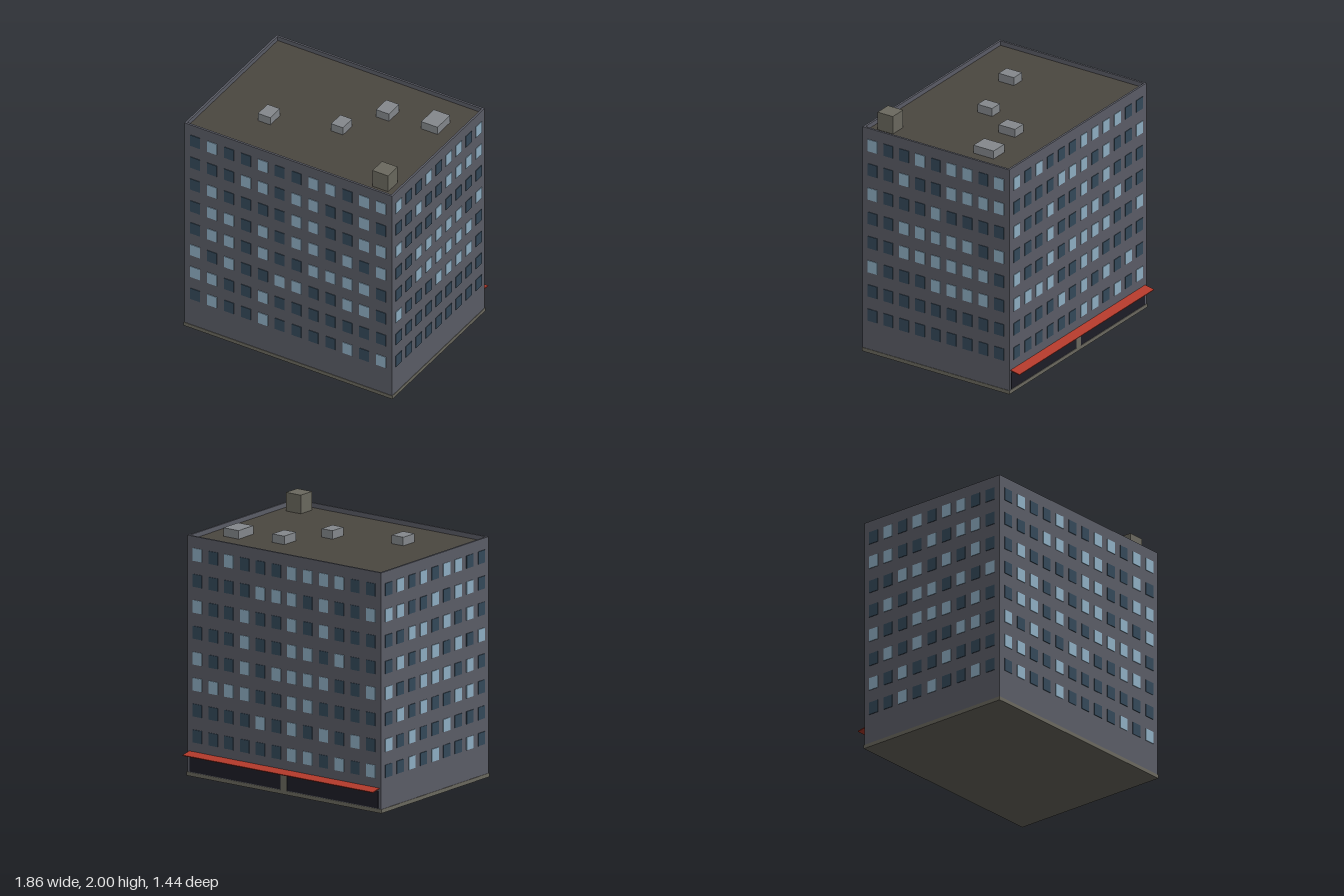
import * as THREE from 'three';
import { mergeGeometries } from 'three/addons/utils/BufferGeometryUtils.js';

const mat = (name, color, side = THREE.FrontSide) => {
  const m = new THREE.MeshStandardMaterial({ color, side });
  m.name = name;
  return m;
};

export function createModel() {
  const wall = mat('wall grey', 0x5b5d67);
  const roofing = mat('roof brown', 0x4b4740);
  const concrete = mat('concrete', 0x6b695f);
  const metal = mat('vent metal', 0x85898d);
  const litGlass = mat('light window', 0x8fafc4);
  const darkGlass = mat('dark window', 0x34495a);
  const shopGlass = mat('shop glass', 0x1d1d27);
  const red = mat('awning red', 0xb43a2b);

  const model = new THREE.Group();
  const W = 1.85, D = 1.35, ZC = 0.035, TOP = 1.89, ROOF = 1.853;
  const BACK = ZC - D / 2;

  const add = (name, geometry, material, parent = model) => {
    const mesh = new THREE.Mesh(geometry, material);
    mesh.name = name;
    parent.add(mesh);
    return mesh;
  };
  // Box given by its limits on each axis
  const block = (name, material, [x0, x1], [y0, y1], [z0, z1]) => {
    const mesh = add(name, new THREE.BoxGeometry(x1 - x0, y1 - y0, z1 - z0), material);
    mesh.position.set((x0 + x1) / 2, (y0 + y1) / 2, (z0 + z1) / 2);
    return mesh;
  };

  // Outer walls, rising past the roof as a parapet
  const rect = (Type, w, d) => new Type([
    new THREE.Vector2(-w / 2, -d / 2), new THREE.Vector2(w / 2, -d / 2),
    new THREE.Vector2(w / 2, d / 2), new THREE.Vector2(-w / 2, d / 2),
  ]);
  const ring = rect(THREE.Shape, W, D);
  ring.holes.push(rect(THREE.Path, W - 0.034, D - 0.034));
  const walls = add('walls', new THREE.ExtrudeGeometry(ring, { depth: TOP - 0.03, bevelEnabled: false }), wall);
  walls.rotation.x = -Math.PI / 2;
  walls.position.set(0, 0.03, ZC);

  // Plinth and roof deck
  block('plinth', concrete, [-0.929, 0.929], [0, 0.03], [BACK - 0.004, ZC + D / 2 + 0.004]);
  block('roofDeck', roofing, [-W / 2 + 0.015, W / 2 - 0.015], [ROOF - 0.03, ROOF], [BACK + 0.015, ZC + D / 2 - 0.015]);

  // Roof equipment: x range, z range
  [
    [[-0.49, -0.38], [0.21, 0.35]],
    [[0.055, 0.16], [0.04, 0.175]],
    [[0.25, 0.365], [-0.31, -0.16]],
    [[0.625, 0.77], [-0.39, -0.205]],
  ].forEach(([x, z], i) => block('roofVent' + (i + 1), metal, x, [ROOF, 1.92], z));
  block('chimney', concrete, [0.7, 0.84], [ROOF, 2], [0.49, 0.63]);

  // Windows: each facade lists its rows from the top, 1 for a light pane
  const facades = [
    { name: 'frontWindows', turn: 0, reach: D / 2, pitch: 0.1505, rows: [
      '010010011011', '000110110010', '010000110011', '011010110101',
      '011010011110', '101001100110', '110010000000', '010010000101'] },
    { name: 'leftWindows', turn: Math.PI / 2, reach: W / 2, pitch: 0.1457, rows: [
      '100101101', '001001111', '100010000', '001111101',
      '001111110', '100011110', '000000000', '000000000'] },
    { name: 'backWindows', turn: Math.PI, reach: D / 2, pitch: 0.1505, rows: [
      '101000111100', '000011101001', '100100101000', '000100110100',
      '100101111001', '111100110000', '000010101010', '000000110101'] },
    { name: 'rightWindows', turn: -Math.PI / 2, reach: W / 2, pitch: 0.1457, rows: [
      '010101100', '110010110', '001101010', '010110101',
      '100111010', '010100110', '101001000', '001010010'] },
  ];
  for (const { name, turn, reach, pitch, rows } of facades) {
    const group = new THREE.Group();
    group.name = name;
    group.position.z = ZC;
    group.rotation.y = turn;
    model.add(group);
    const panes = { 0: [], 1: [] };
    rows.forEach((row, r) => [...row].forEach((kind, c) => {
      const x = (c - (row.length - 1) / 2) * pitch;
      panes[kind].push(new THREE.BoxGeometry(0.086, 0.1, 0.009).translate(x, 1.748 - r * 0.2041, reach + 0.0005));
    }));
    add('darkPanes', mergeGeometries(panes[0]), darkGlass, group);
    add('lightPanes', mergeGeometries(panes[1]), litGlass, group);
  }

  // Shop front along the back, with a door and a sloping awning
  block('shopWindow', shopGlass, [-0.9, 0.9], [0.035, 0.17], [BACK - 0.004, BACK + 0.004]);
  block('shopDoor', concrete, [-0.028, 0.028], [0.03, 0.155], [BACK - 0.008, BACK]);
  const awning = block('awning', red, [-0.907, 0.907], [0.181, 0.188], [BACK - 0.082, BACK + 0.004]);
  awning.rotation.x = -0.19;

  return model;
}
